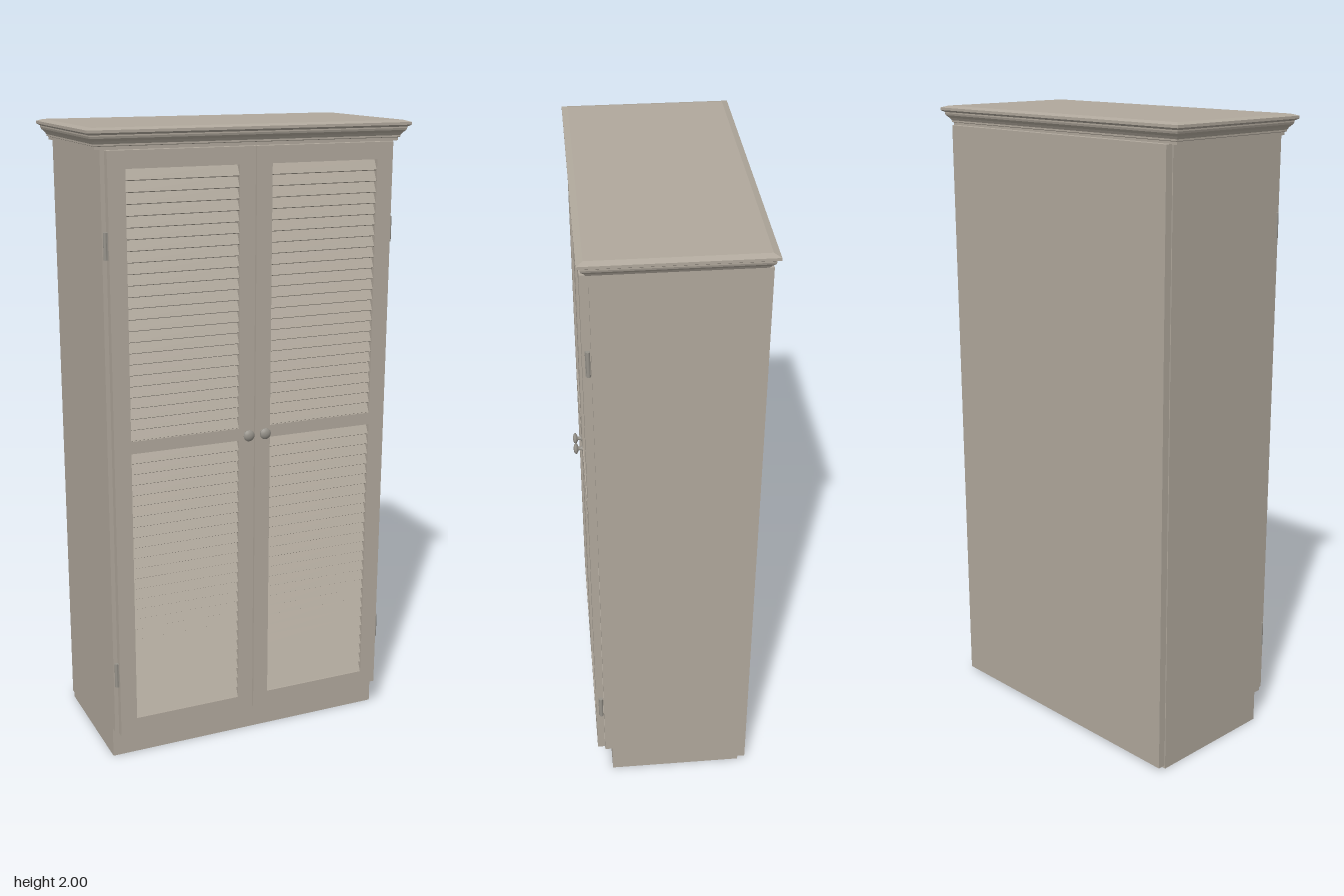
import * as THREE from 'three';

const paint = new THREE.MeshStandardMaterial({ color: 0xb0a89c });
paint.name = 'warm grey paint';
const metal = new THREE.MeshStandardMaterial({ color: 0x97938b });
metal.name = 'grey metal';

function add(parent, name, geometry, material = paint) {
  const mesh = new THREE.Mesh(geometry, material);
  mesh.name = name;
  parent.add(mesh);
  return mesh;
}

// Box given by its lower and upper limits on each axis
function panel(parent, name, [x0, x1], [y0, y1], [z0, z1]) {
  const mesh = add(parent, name, new THREE.BoxGeometry(x1 - x0, y1 - y0, z1 - z0));
  mesh.position.set((x0 + x1) / 2, (y0 + y1) / 2, (z0 + z1) / 2);
  return mesh;
}

// Mitred moulding: rectangles of [inset, height] joined by flat faces
function mouldingGeometry(profile, x, zBack, zFront) {
  const pos = [];
  const ring = ([d, y]) => [
    [-x + d, y, zFront - d], [x - d, y, zFront - d],
    [x - d, y, zBack + d], [-x + d, y, zBack + d],
  ];
  const quad = (a, b, c, d) => pos.push(...a, ...b, ...c, ...a, ...c, ...d);
  const rings = profile.map(ring);
  for (let i = 0; i < rings.length - 1; i++) {
    for (let k = 0; k < 4; k++) {
      const n = (k + 1) % 4;
      quad(rings[i][k], rings[i][n], rings[i + 1][n], rings[i + 1][k]);
    }
  }
  const [a, b, c, d] = rings[0];
  quad(d, c, b, a);
  quad(...rings[rings.length - 1]);
  const geometry = new THREE.BufferGeometry();
  geometry.setAttribute('position', new THREE.Float32BufferAttribute(pos, 3));
  geometry.computeVertexNormals();
  return geometry;
}

function rectangle(Type, x0, x1, y0, y1) {
  return new Type([
    new THREE.Vector2(x0, y0), new THREE.Vector2(x1, y0),
    new THREE.Vector2(x1, y1), new THREE.Vector2(x0, y1),
  ]);
}

// Louvred door; side is +1 for the left door and -1 for the right
function createDoor(side) {
  const door = new THREE.Group();
  door.name = side > 0 ? 'leftDoor' : 'rightDoor';
  const xs = side > 0 ? [0.002, 0.462] : [-0.462, -0.002];
  const hole = side > 0 ? [0.053, 0.408] : [-0.408, -0.053];
  const openings = [
    { y0: 0.148, y1: 1.038, count: 26 },
    { y0: 1.077, y1: 1.885, count: 24 },
  ];

  // Stiles and rails in one piece
  const shape = rectangle(THREE.Shape, ...xs, 0.1, 1.937);
  for (const o of openings) shape.holes.push(rectangle(THREE.Path, ...hole, o.y0, o.y1));
  const frame = add(door, 'doorFrame',
    new THREE.ExtrudeGeometry(shape, { depth: 0.024, bevelEnabled: false }));
  frame.position.z = 0.22;

  // Tilted slats
  const slat = new THREE.BoxGeometry(hole[1] - hole[0] + 0.004, 0.037, 0.006);
  for (const o of openings) {
    const pitch = (o.y1 - o.y0) / o.count;
    for (let i = 0; i < o.count; i++) {
      const mesh = add(door, 'slat', slat);
      mesh.position.set((hole[0] + hole[1]) / 2, o.y0 + (i + 0.5) * pitch, 0.23);
      mesh.rotation.x = -0.48;
    }
  }

  // Turned knob
  const profile = [
    [0, -0.002], [0.009, -0.002], [0.009, 0.002], [0.006, 0.005], [0.006, 0.013],
    [0.013, 0.016], [0.018, 0.02], [0.018, 0.022], [0.013, 0.027], [0.006, 0.029], [0, 0.0295],
  ].map(([r, y]) => new THREE.Vector2(r, y));
  const knob = add(door, 'knob', new THREE.LatheGeometry(profile, 24), metal);
  knob.rotation.x = Math.PI / 2;
  knob.position.set(side * 0.028, 1.057, 0.2435);

  // Hinge barrels with their leaves
  for (const y of [0.305, 1.667]) {
    const barrel = add(door, 'hingeBarrel', new THREE.CylinderGeometry(0.006, 0.006, 0.08, 12), metal);
    barrel.position.set(side * 0.468, y, 0.228);
    const leaf = add(door, 'hingeLeaf', new THREE.BoxGeometry(0.004, 0.08, 0.014), metal);
    leaf.position.set(side * 0.463, y, 0.229);
  }
  return door;
}

export function createModel() {
  const cabinet = new THREE.Group();
  cabinet.name = 'louvredCabinet';

  // Carcass
  const carcass = new THREE.Group();
  carcass.name = 'carcass';
  cabinet.add(carcass);
  for (const s of [-1, 1]) {
    const xs = s > 0 ? [0.455, 0.475] : [-0.475, -0.455];
    panel(carcass, 'sidePanel', xs, [0.1, 1.94], [-0.24, 0.219]);
    panel(carcass, 'baseSide', xs, [0, 0.1], [-0.24, 0.195]);
  }
  panel(carcass, 'backPanel', [-0.472, 0.472], [0.01, 1.94], [-0.265, -0.24]);
  panel(carcass, 'floorPanel', [-0.455, 0.455], [0.08, 0.1], [-0.24, 0.219]);
  panel(carcass, 'topPanel', [-0.455, 0.455], [1.92, 1.94], [-0.24, 0.219]);

  // Recessed plinth, open underneath
  panel(carcass, 'plinthFront', [-0.455, 0.455], [0, 0.08], [0.175, 0.195]);
  panel(carcass, 'plinthBack', [-0.455, 0.455], [0, 0.08], [-0.24, -0.22]);

  // Stepped crown moulding
  const crown = [
    [0.03, 1.938], [0.03, 1.947], [0.025, 1.949], [0.025, 1.954], [0.02, 1.962],
    [0.012, 1.97], [0.01, 1.976], [0.01, 1.98], [0, 1.986], [0, 1.994], [0.019, 2.0],
  ];
  add(cabinet, 'crownMoulding', mouldingGeometry(crown, 0.521, -0.273, 0.252));

  cabinet.add(createDoor(1), createDoor(-1));
  return cabinet;
}
